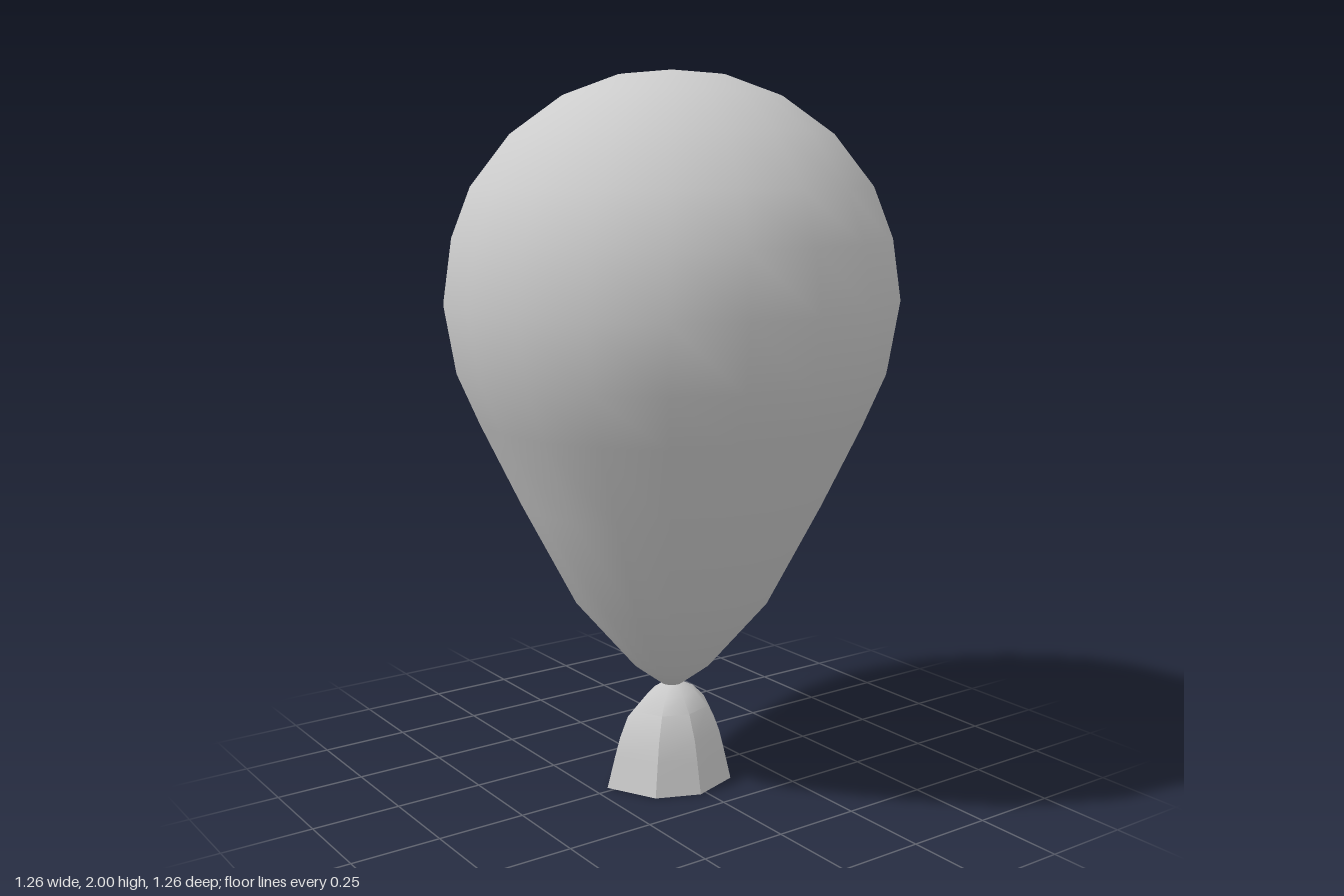
import * as THREE from 'three';
import { toCreasedNormals } from 'three/addons/utils/BufferGeometryUtils.js';

const v2 = ([x, y]) => new THREE.Vector2(x, y);

// Teardrop body turned with 20 sides
function makeBody(material) {
  const profile = [
    [0, 0.27], [0.03, 0.28], [0.11, 0.34], [0.28, 0.54], [0.43, 0.83], [0.54, 1.06], [0.6, 1.2],
    [0.63, 1.38], [0.605, 1.55], [0.55, 1.69], [0.44, 1.83], [0.3, 1.93], [0.15, 1.985], [0, 2],
  ].map(v2);
  const mesh = new THREE.Mesh(new THREE.LatheGeometry(profile, 20), material);
  mesh.name = 'balloonBody';
  return mesh;
}

// Flared, pleated neck: an uneven seven-sided outline shrinking upward, closed below
function makeNeck(material) {
  const outline = [
    [-0.02, 0.21], [0.12, 0.14], [0.17, 0.02], [0.125, -0.12], [0, -0.19], [-0.165, -0.13], [-0.135, 0.06],
  ];
  const rings = [[0, 1], [0.09, 0.88], [0.145, 0.8], [0.215, 0.61], [0.255, 0.4], [0.278, 0.17], [0.283, 0]];
  const n = outline.length;
  const positions = [], index = [];
  rings.forEach(([y, scale], k) => {
    outline.forEach(([x, z], i) => {
      // One pleat is pinched in low down and bulges just above
      const pinch = i === n - 1 ? (k === 1 ? 0.83 : k === 2 ? 1.27 : 1) : 1;
      positions.push(x * scale * pinch, y, z * scale * pinch);
    });
  });
  for (let k = 0; k < rings.length - 1; k++) {
    for (let i = 0; i < n; i++) {
      const a = k * n + i, b = k * n + (i + 1) % n;
      index.push(a, b, b + n);
      if (k < rings.length - 2) index.push(a, b + n, a + n);
    }
  }
  // Flat base
  const centre = positions.length / 3;
  positions.push(0, 0, 0);
  for (let i = 0; i < n; i++) index.push(centre, (i + 1) % n, i);

  const geometry = new THREE.BufferGeometry();
  geometry.setAttribute('position', new THREE.Float32BufferAttribute(positions, 3));
  geometry.setIndex(index);
  const mesh = new THREE.Mesh(toCreasedNormals(geometry, 0.6), material);
  mesh.name = 'tiedNeck';
  return mesh;
}

export function createModel() {
  const material = new THREE.MeshStandardMaterial({ color: 0xcccccc });
  const group = new THREE.Group();
  group.name = 'balloon';
  group.add(makeBody(material), makeNeck(material));
  return group;
}
